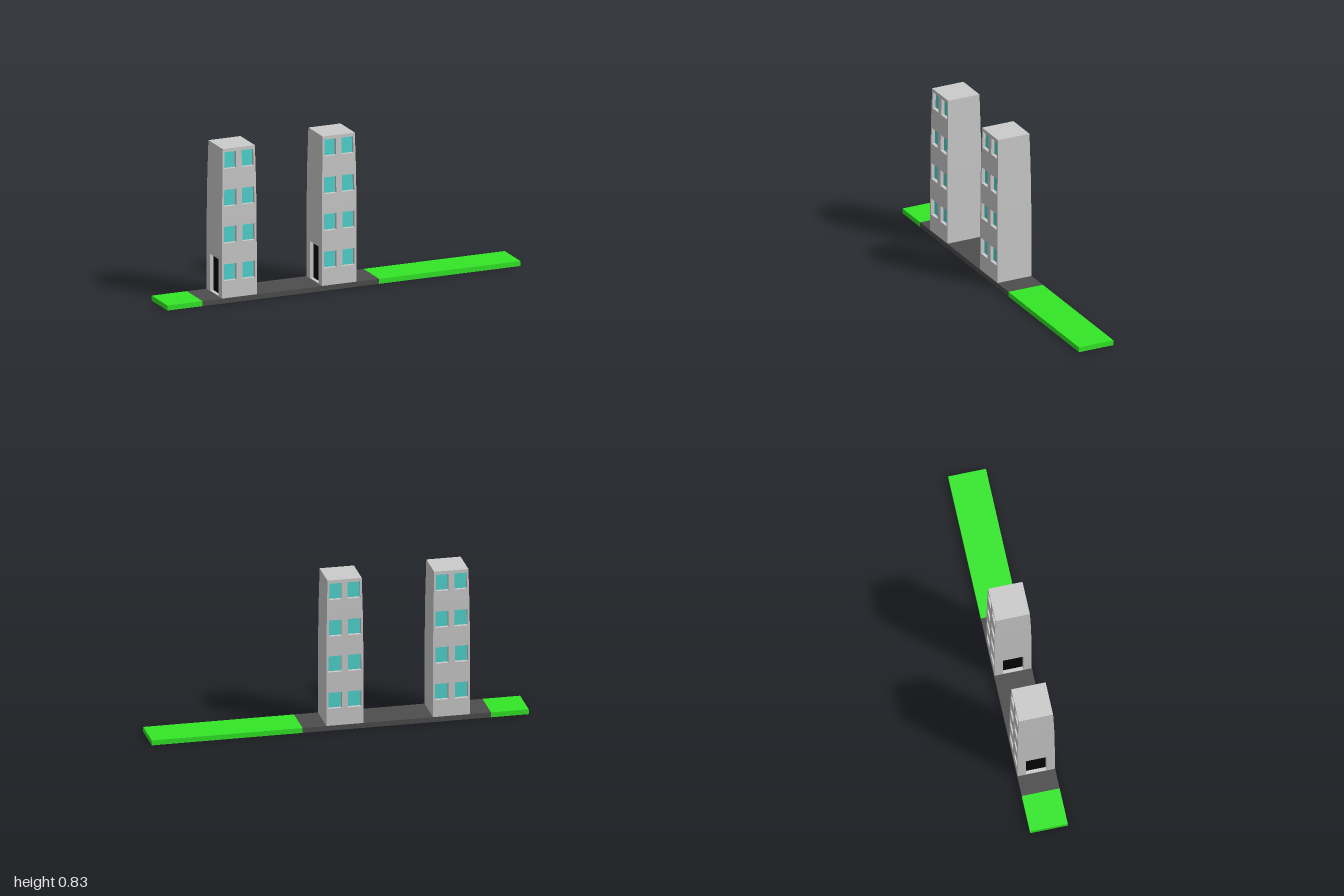
import * as THREE from 'three';
import { mergeGeometries } from 'three/addons/utils/BufferGeometryUtils.js';

const BASE = 0.027;                              // ground slab thickness
const FLOORS = [BASE, 0.245, 0.44, 0.64, 0.83];  // storey levels
const HALF = [0.0985, 0.0985, 0.0978, 0.0955, 0.091]; // half width at each level
const HW = HALF[0], T = 0.02;                    // nominal half width, wall thickness
const ROWS = [0.165, 0.367, 0.565, 0.767];       // window centre heights
const WIN = { w: 0.07, h: 0.089, x: 0.052 };
const DOOR = { w: 0.108, y0: 0.03, y1: 0.228 };

const material = (color) => new THREE.MeshStandardMaterial({ color, flatShading: true });

// Narrow everything towards the top, following the storey widths
function taper(geo) {
  const g = geo.index ? geo.toNonIndexed() : geo;
  const p = g.attributes.position;
  for (let i = 0; i < p.count; i++) {
    const y = p.getY(i);
    let k = 0;
    while (k < FLOORS.length - 2 && y > FLOORS[k + 1]) k++;
    const t = THREE.MathUtils.clamp((y - FLOORS[k]) / (FLOORS[k + 1] - FLOORS[k]), 0, 1);
    const s = THREE.MathUtils.lerp(HALF[k], HALF[k + 1], t) / HW;
    p.setX(i, p.getX(i) * s);
    p.setZ(i, p.getZ(i) * s);
  }
  g.computeVertexNormals();
  return g;
}

function rect(path, x0, x1, y0, y1) {
  path.moveTo(x0, y0);
  path.lineTo(x1, y0);
  path.lineTo(x1, y1);
  path.lineTo(x0, y1);
  path.closePath();
  return path;
}

// One storey of one wall, with rectangular openings [x0, x1, y0, y1]
function wallPanel(halfWidth, floor, openings, angle) {
  const shape = rect(new THREE.Shape(), -halfWidth, halfWidth, FLOORS[floor], FLOORS[floor + 1]);
  for (const o of openings) shape.holes.push(rect(new THREE.Path(), ...o));
  return new THREE.ExtrudeGeometry(shape, { depth: T, bevelEnabled: false })
    .translate(0, 0, HW - T).rotateY(angle);
}

// Thin panel closing an opening at the back of its recess
function infill(x, y, w, h, angle) {
  return taper(new THREE.BoxGeometry(w + 0.004, h + 0.004, 0.004)
    .translate(x, y, HW - T - 0.001).rotateY(angle));
}

function createTower(x) {
  const tower = new THREE.Group();
  tower.name = 'tower';
  tower.position.x = x;
  const walls = [], panes = [];

  for (let f = 0; f < 4; f++) {
    // front and back facades with two windows per storey
    const y = ROWS[f];
    const openings = [-1, 1].map((s) =>
      [s * WIN.x - WIN.w / 2, s * WIN.x + WIN.w / 2, y - WIN.h / 2, y + WIN.h / 2]);
    for (const angle of [0, Math.PI]) {
      walls.push(wallPanel(HW, f, openings, angle));
      for (const s of [-1, 1]) panes.push(infill(s * WIN.x, y, WIN.w, WIN.h, angle));
    }
    // side walls, with the doorway on the ground floor of one of them
    const doorway = f === 0 ? [[-DOOR.w / 2, DOOR.w / 2, DOOR.y0, DOOR.y1]] : [];
    walls.push(wallPanel(HW - T, f, doorway, -Math.PI / 2));
    walls.push(wallPanel(HW - T, f, [], Math.PI / 2));
  }

  const add = (name, geo, color) => {
    const mesh = new THREE.Mesh(geo, material(color));
    mesh.name = name;
    tower.add(mesh);
  };
  add('walls', taper(mergeGeometries(walls)), 0xcccccc);
  add('windowPanes', mergeGeometries(panes), 0x50d6d0);
  add('door', infill(0, (DOOR.y0 + DOOR.y1) / 2, DOOR.w, DOOR.y1 - DOOR.y0, -Math.PI / 2), 0x050505);

  // roof filling the space between the wall tops
  const inner = 2 * (HW - T);
  add('roof', taper(new THREE.BoxGeometry(inner, 0.012, inner).translate(0, FLOORS[4] - 0.006, 0)), 0xcccccc);
  return tower;
}

export function createModel() {
  const model = new THREE.Group();
  model.name = 'towersOnStrip';

  // ground strip: grass, paving, grass
  const strips = [
    ['grassShort', -1, -0.8, 0x32e727],
    ['paving', -0.8, 0.2, 0x4d4d4d],
    ['grassLong', 0.2, 1, 0x32e727],
  ];
  for (const [name, x0, x1, color] of strips) {
    const mesh = new THREE.Mesh(new THREE.BoxGeometry(x1 - x0, BASE, 0.2), material(color));
    mesh.name = name;
    mesh.position.set((x0 + x1) / 2, BASE / 2, 0);
    model.add(mesh);
  }

  for (const x of [-0.591, -0.025]) model.add(createTower(x));
  return model;
}
